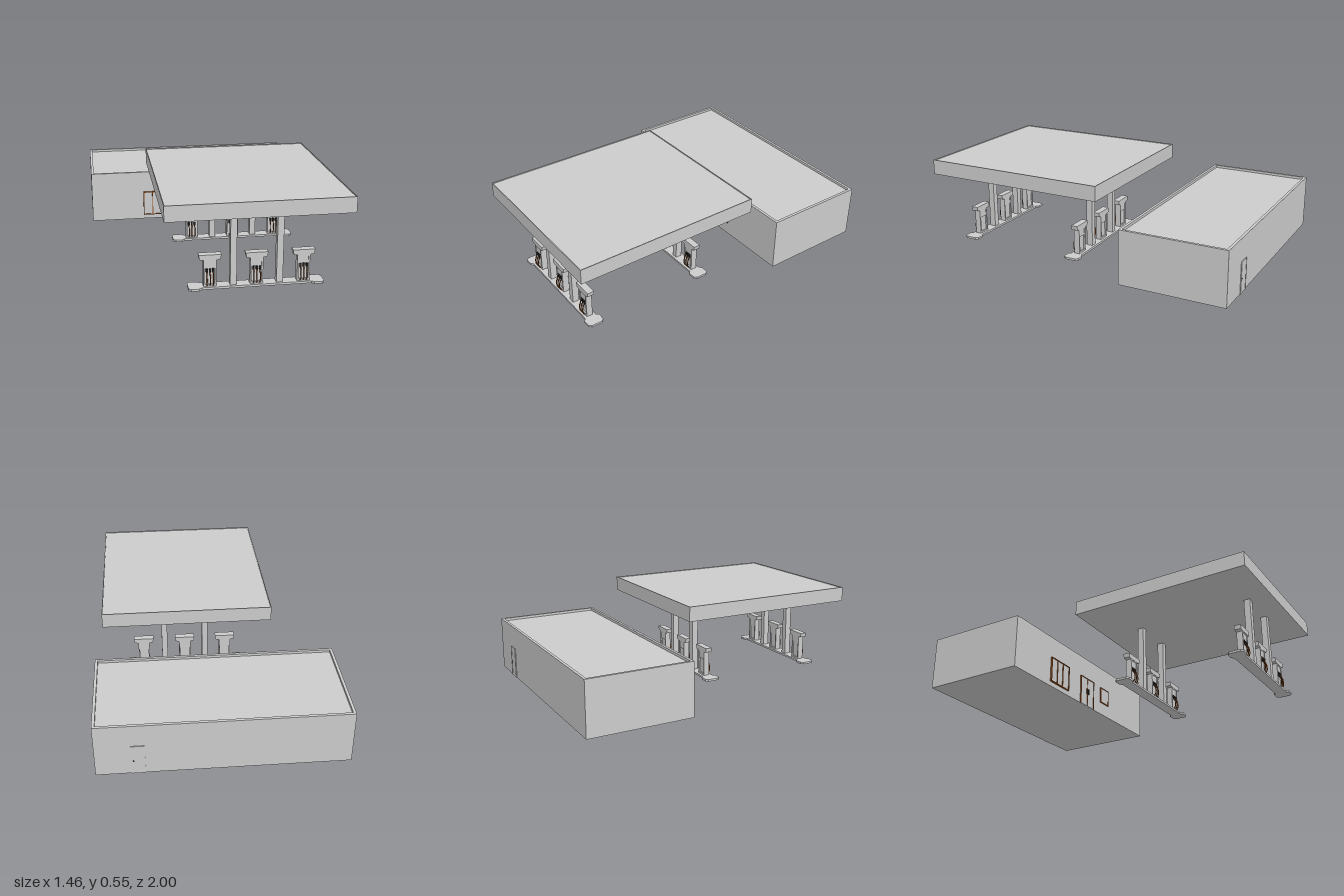
import * as THREE from 'three';

const grey = new THREE.MeshStandardMaterial({ color: 0xcccccc, flatShading: true });
const brown = new THREE.MeshStandardMaterial({ color: 0x8a4a1c });
const dark = new THREE.MeshStandardMaterial({ color: 0x2a2a2a });

function add(parent, name, geometry, material = grey) {
  const mesh = new THREE.Mesh(geometry, material);
  mesh.name = name;
  parent.add(mesh);
  return mesh;
}

// Box given by its lower and upper limits on each axis
function box(parent, name, [x0, x1], [y0, y1], [z0, z1], material) {
  const g = new THREE.BoxGeometry(x1 - x0, y1 - y0, z1 - z0);
  g.translate((x0 + x1) / 2, (y0 + y1) / 2, (z0 + z1) / 2);
  return add(parent, name, g, material);
}

function group(parent, name, x = 0, y = 0, z = 0) {
  const g = new THREE.Group();
  g.name = name;
  g.position.set(x, y, z);
  parent.add(g);
  return g;
}

const polygon = (points) => new THREE.Shape(points.map(([x, y]) => new THREE.Vector2(x, y)));

// Solid block whose roof lies a little below a surrounding rim
function rimmedBlock(parent, name, [x0, x1], [y0, y1], [z0, z1], rim, drop) {
  const g = group(parent, name);
  box(g, name + 'Body', [x0, x1], [y0, y1 - drop], [z0, z1]);
  const ring = polygon([[x0, -z1], [x1, -z1], [x1, -z0], [x0, -z0]]);
  ring.holes.push(polygon([[x0 + rim, -z1 + rim], [x0 + rim, -z0 - rim],
    [x1 - rim, -z0 - rim], [x1 - rim, -z1 + rim]]));
  const geo = new THREE.ExtrudeGeometry(ring, { depth: drop, bevelEnabled: false });
  geo.rotateX(-Math.PI / 2).translate(0, y1 - drop, 0);
  add(g, name + 'Rim', geo);
}

// Framed opening: outer frame, upright bars and a thin pane
function framed(parent, name, [x0, x1], [y0, y1], [z0, z1], bars, material) {
  const g = group(parent, name);
  const t = 0.005;
  const zm = (z0 + z1) / 2;
  box(g, 'pane', [x0 + t, x1 - t], [y0, y1 - t], [zm - 0.002, zm + 0.002]);
  for (const x of [x0, ...bars, x1 - t]) box(g, 'upright', [x, x + t], [y0, y1], [z0, z1], material);
  box(g, 'topRail', [x0, x1], [y1 - t, y1], [z0, z1], material);
  if (y0 > 0) box(g, 'sill', [x0, x1], [y0, y0 + t], [z0, z1], material);
  return g;
}

function fuelPump(parent, x) {
  const pump = group(parent, 'fuelPump', x, 0.012, 0);
  const depth = 0.038;
  // Cabinet with a recess on both faces
  const cabinet = polygon([[-0.037, 0], [0.037, 0], [0.037, 0.16], [-0.037, 0.16]]);
  cabinet.holes.push(polygon([[-0.028, 0.012], [-0.028, 0.152], [0.028, 0.152], [0.028, 0.012]]));
  const body = new THREE.ExtrudeGeometry(cabinet, { depth, bevelEnabled: false });
  add(pump, 'cabinet', body.translate(0, 0, -depth / 2));
  box(pump, 'recessPanel', [-0.028, 0.028], [0.012, 0.152], [-0.01, 0.01]);
  box(pump, 'display', [-0.028, 0.028], [0.108, 0.152], [-0.016, 0.016]);
  // Flared head
  const head = polygon([[-0.037, 0.158], [0.037, 0.158], [0.06, 0.163], [0.064, 0.19],
    [-0.064, 0.19], [-0.06, 0.163]]);
  const headGeo = new THREE.ExtrudeGeometry(head, { depth: depth + 0.004, bevelEnabled: false });
  add(pump, 'head', headGeo.translate(0, 0, -depth / 2 - 0.002));
  // Three nozzles with hanging hoses
  for (const hx of [-0.018, 0, 0.018]) {
    box(pump, 'nozzle', [hx - 0.005, hx + 0.005], [0.085, 0.105], [0.008, 0.022], dark);
    const path = new THREE.CatmullRomCurve3([[0.09, 0.018], [0.07, 0.029], [0.045, 0.034],
      [0.02, 0.031], [0.006, 0.019]].map(([y, z]) => new THREE.Vector3(hx, y, z)));
    add(pump, 'hose', new THREE.TubeGeometry(path, 16, 0.003, 8), brown);
  }
}

function pumpIsland(parent, z) {
  const island = group(parent, 'pumpIsland', 0.162, 0, z);
  // Kerb with flared ends
  const half = [[0.315, -0.035], [0.33, -0.05], [0.375, -0.05], [0.39, -0.035],
    [0.39, 0.035], [0.375, 0.05], [0.33, 0.05], [0.315, 0.035]];
  const kerb = new THREE.ExtrudeGeometry(
    polygon([...half, ...half.map(([a, b]) => [-a, -b])]), { depth: 0.013, bevelEnabled: false });
  add(island, 'kerb', kerb.rotateX(-Math.PI / 2));
  for (const x of [-0.266, 0, 0.271]) fuelPump(island, x);
  for (const x of [-0.133, 0.133]) {
    box(island, 'canopyColumn', [x - 0.0185, x + 0.0185], [0.012, 0.457], [-0.02, 0.02]);
  }
}

export function createModel() {
  const model = new THREE.Group();
  model.name = 'fillingStation';

  // Shop building
  rimmedBlock(model, 'shop', [-0.73, 0.73], [0, 0.335], [-0.995, -0.338], 0.017, 0.016);
  const front = [-0.34, -0.326];
  framed(model, 'wideWindow', [-0.38, -0.19], [0.03, 0.195], front, [-0.32, -0.262], brown);
  const entrance = framed(model, 'entrance', [-0.048, 0.104], [0, 0.195], [-0.34, -0.33], [0.0255], brown);
  for (const x of [0.015, 0.037]) {
    box(entrance, 'handle', [x, x + 0.004], [0.08, 0.12], [-0.334, -0.325], dark);
  }
  framed(model, 'smallWindow', [0.19, 0.285], [0.083, 0.19], [-0.34, -0.33], [], brown);
  const backDoor = framed(model, 'backDoor', [0.447, 0.527], [0, 0.195], [-1, -0.993], [], grey);
  const knob = add(backDoor, 'knob', new THREE.SphereGeometry(0.004, 12, 8), dark);
  knob.position.set(0.512, 0.09, -0.998);

  // Canopy over the two pump islands
  rimmedBlock(model, 'canopy', [-0.37, 0.68], [0.455, 0.547], [-0.166, 1], 0.005, 0.005);
  for (const z of [0.846, 0.09]) pumpIsland(model, z);

  return model;
}
